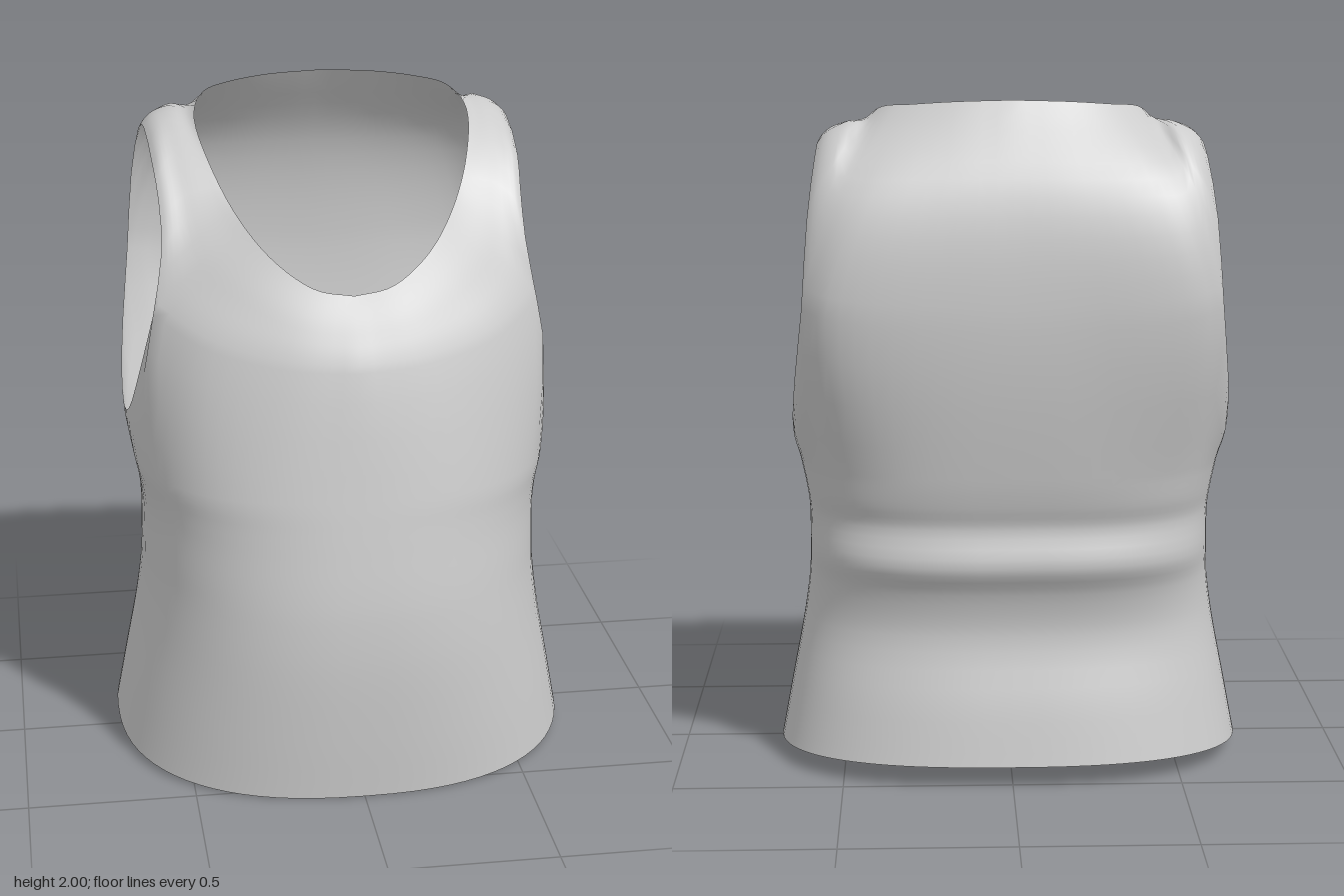
import * as THREE from 'three';
import { mergeVertices } from 'three/addons/utils/BufferGeometryUtils.js';

const HALF = 40;                 // columns from centre front to centre back
const ARM_F = 0.35, ARM_B = 0.7; // share of the half loop where the armhole starts and ends

const curve = (pts) => new THREE.CatmullRomCurve3(pts.map((p) => (p.isVector3 ? p : new THREE.Vector3(...p))));

// Half loop with corners where the armhole starts and ends
function corneredLoop(front, arm, back) {
  const f = curve(front), a = curve(arm), b = curve(back);
  return (t) => {
    if (t <= ARM_F) return f.getPoint(t / ARM_F);
    if (t <= ARM_B) return a.getPoint(Math.min(1, (t - ARM_F) / (ARM_B - ARM_F)));
    return b.getPoint(Math.min(1, (t - ARM_B) / (1 - ARM_B)));
  };
}

// Half loop without corners; points f and b lie at the armhole's start and end
function smoothLoop(points, f, b) {
  const line = curve(points), last = points.length - 1;
  return (t) => {
    let k = f * t / ARM_F;
    if (t > ARM_F) k = f + (b - f) * (t - ARM_F) / (ARM_B - ARM_F);
    if (t > ARM_B) k = b + (last - b) * (t - ARM_B) / (1 - ARM_B);
    return line.getPoint(Math.min(1, k / last));
  };
}

// Horizontal body loop: height, half width, front z, back z, squareness of the back, tilt
function bodyLoop([y, w, zf, zb, n, tilt]) {
  return (t) => {
    const s = Math.max(0, Math.sin(t * Math.PI)), c = Math.cos(t * Math.PI), mid = -0.05;
    const e = 2 / (c > 0 ? 2.4 : n);
    const z = mid + (c > 0 ? zf - mid : zb - mid) * Math.pow(Math.abs(c), e);
    return new THREE.Vector3(w * Math.pow(s, e), y - tilt * z, z);
  };
}

// Smooth skin through a stack of half loops, drawn between two of them and mirrored
function skin(loops, from, to, rows, positions, index) {
  const start = positions.length / 3, cols = HALF * 2;
  for (let j = 0; j <= cols; j++) {
    const t = (j <= HALF ? j : cols - j) / HALF;
    const column = curve(loops.map((loop) => loop(t)));
    for (let i = 0; i <= rows; i++) {
      const p = column.getPoint((from + (to - from) * i / rows) / (loops.length - 1));
      positions.push(j <= HALF ? p.x : -p.x, p.y, p.z);
    }
  }
  for (let j = 0; j < cols; j++) {
    for (let i = 0; i < rows; i++) {
      const a = start + j * (rows + 1) + i, b = a + rows + 1;
      index.push(a, b, b + 1, a, b + 1, a + 1);
    }
  }
}

export function createModel() {
  // Chest line in front and across the back, joined by either edge of the armhole
  const chest = [[0, 1.3, 0.452], [0.2, 1.31, 0.425], [0.42, 1.35, 0.335], [0.57, 1.42, 0.2]];
  const shoulderBlades = [[0.6, 1.42, -0.51], [0.53, 1.4, -0.565], [0.4, 1.38, -0.588], [0.2, 1.37, -0.59], [0, 1.36, -0.59]];
  const armholeLower = [[0.57, 1.42, 0.2], [0.61, 1.22, 0.12], [0.635, 1.07, 0], [0.643, 1.02, -0.14],
    [0.643, 1.05, -0.27], [0.63, 1.18, -0.4], [0.6, 1.42, -0.51]];
  const armholeUpper = [[0.57, 1.42, 0.2], [0.538, 1.6, 0.165], [0.537, 1.73, 0.085], [0.545, 1.81, 0],
    [0.555, 1.88, -0.22], [0.562, 1.84, -0.37], [0.582, 1.67, -0.48], [0.6, 1.42, -0.51]];

  // Middle of the yoke and straps
  const yoke = smoothLoop([
    [0, 1.4, 0.405], [0.16, 1.42, 0.385], [0.31, 1.48, 0.315], [0.43, 1.57, 0.205],
    [0.465, 1.775, 0.07], [0.485, 1.915, -0.15], [0.48, 1.91, -0.36], [0.49, 1.75, -0.505],
    [0.4, 1.74, -0.535], [0.2, 1.74, -0.545], [0, 1.74, -0.545]], 3, 7);

  const neckline = smoothLoop([
    [0, 1.5, 0.345], [0.11, 1.52, 0.335], [0.22, 1.59, 0.28], [0.31, 1.69, 0.18],
    [0.38, 1.82, 0.04], [0.41, 1.93, -0.13], [0.37, 1.975, -0.255],
    [0.29, 1.985, -0.33], [0.16, 1.995, -0.375], [0, 2, -0.39]], 3, 6);

  // Body from the hem up, with the folds at the back of the waist
  const body = [
    [0.035, 0.7, 0.575, -0.54, 2.5, 0.06],
    [0.22, 0.665, 0.585, -0.505, 2.5, 0.04],
    [0.43, 0.625, 0.59, -0.455, 2.6, 0.02],
    [0.57, 0.607, 0.582, -0.478, 2.7, 0],
    [0.66, 0.604, 0.571, -0.522, 2.8, 0],
    [0.77, 0.604, 0.553, -0.498, 2.9, 0],
    [0.84, 0.612, 0.541, -0.517, 3, 0],
    [0.93, 0.63, 0.525, -0.537, 3, 0],
  ].map(bodyLoop);

  const under = corneredLoop(chest, armholeLower, shoulderBlades);
  const over = corneredLoop(chest, armholeUpper, shoulderBlades);
  const positions = [], index = [];
  // The neighbouring loop beyond each seam keeps the two skins flush
  skin([...body, under, yoke], 0, 8, 32, positions, index);
  skin([body[7], over, yoke, neckline], 1, 3, 12, positions, index);

  let geometry = new THREE.BufferGeometry();
  geometry.setAttribute('position', new THREE.Float32BufferAttribute(positions, 3));
  geometry.setIndex(index);
  geometry = mergeVertices(geometry, 1e-4);
  geometry.computeVertexNormals();

  const shirt = new THREE.Mesh(geometry, new THREE.MeshStandardMaterial({ color: 0xcccccc, side: THREE.DoubleSide }));
  shirt.name = 'sleevelessTop';
  const group = new THREE.Group();
  group.name = 'tankTop';
  group.add(shirt);
  return group;
}
